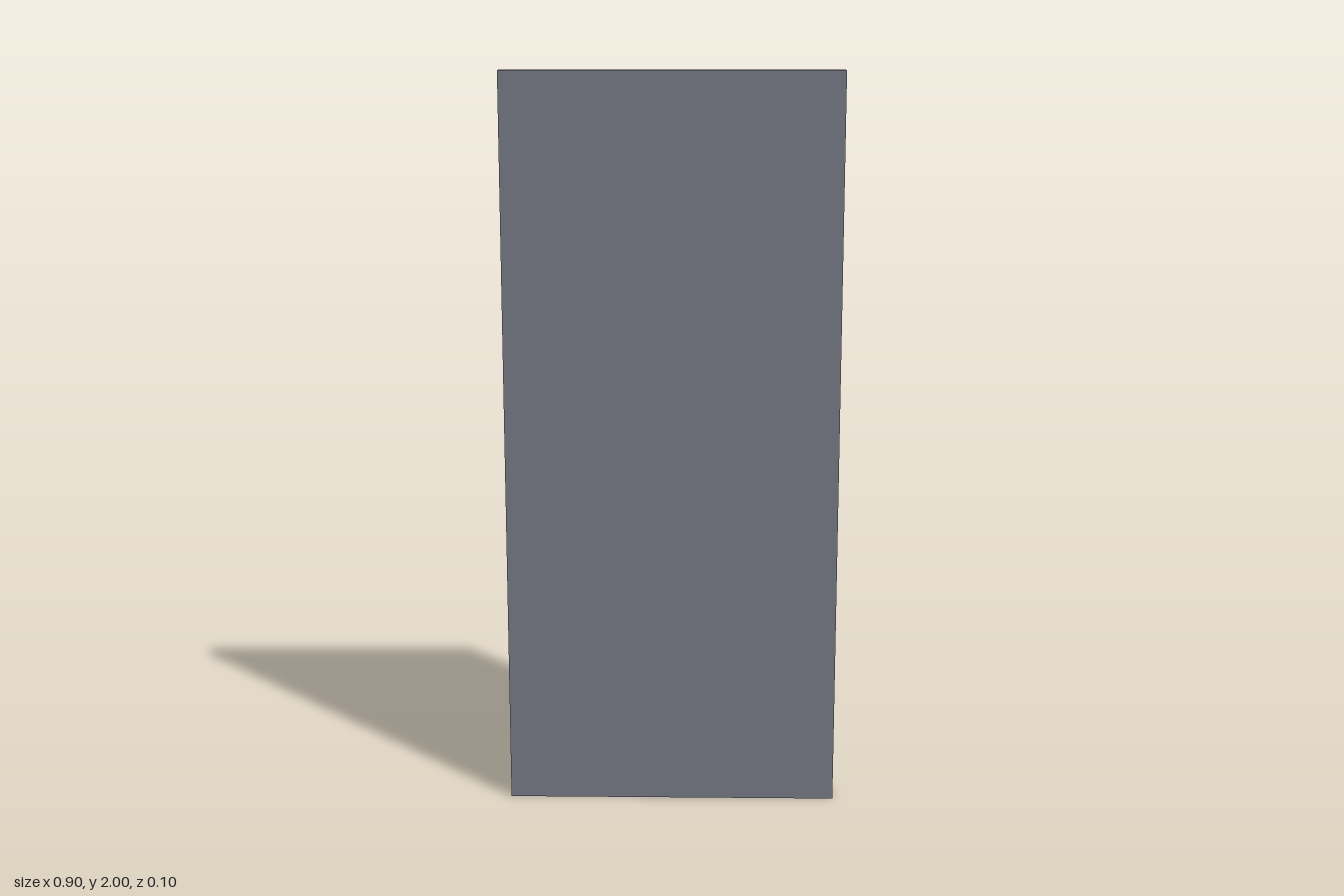
import * as THREE from 'three';

export function createModel() {
  const model = new THREE.Group();
  model.name = 'panelWithCross';

  const slate = new THREE.MeshStandardMaterial({ color: 0x767a84 });
  slate.name = 'slate grey';
  const gold = new THREE.MeshStandardMaterial({ color: 0xc9b86a });
  gold.name = 'pale gold';

  // Upright slab
  const slab = new THREE.Mesh(new THREE.BoxGeometry(0.9, 2, 0.064), slate);
  slab.name = 'slab';
  slab.position.set(0, 1, 0.016);
  model.add(slab);

  // Raised cross on the back, cut as one outline
  const post = 0.077, arm = 0.387;
  const bottom = 0.065, armLow = 1.12, armHigh = 1.27, top = 1.935;
  const half = [
    [post, bottom], [post, armLow], [arm, armLow],
    [arm, armHigh], [post, armHigh], [post, top],
  ];
  const mirrored = half.map(([x, y]) => [-x, y]).reverse();
  const outline = new THREE.Shape([...half, ...mirrored].map(([x, y]) => new THREE.Vector2(x, y)));
  const cross = new THREE.Mesh(
    new THREE.ExtrudeGeometry(outline, { depth: 0.032, bevelEnabled: false }), gold);
  cross.name = 'cross';
  cross.position.z = -0.048;
  model.add(cross);

  return model;
}
